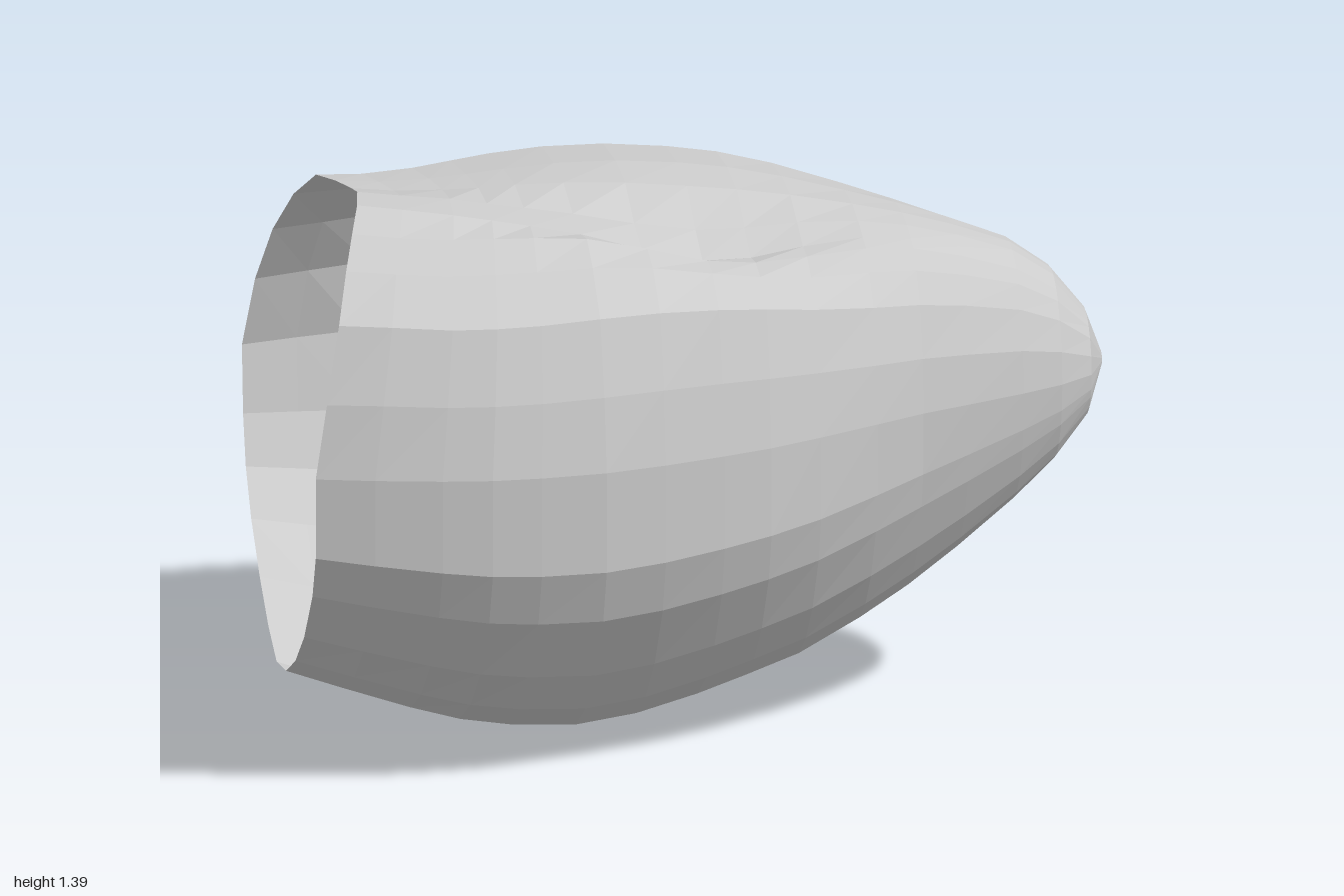
import * as THREE from 'three';

// Stations along the body: x, top y, bottom y, front z, back z
const STATIONS = [
  [-1, 1.39, 0.17, 0.67, -0.54], [-0.86, 1.39, 0.12, 0.70, -0.59],
  [-0.7, 1.37, 0.065, 0.725, -0.64], [-0.58, 1.355, 0.03, 0.735, -0.675],
  [-0.46, 1.34, 0.01, 0.73, -0.71], [-0.3, 1.34, 0, 0.71, -0.735],
  [-0.15, 1.34, 0.02, 0.67, -0.738], [0, 1.33, 0.06, 0.62, -0.715],
  [0.12, 1.315, 0.1, 0.575, -0.685], [0.25, 1.29, 0.145, 0.51, -0.635],
  [0.4, 1.255, 0.225, 0.43, -0.55], [0.52, 1.225, 0.3, 0.365, -0.475],
  [0.64, 1.19, 0.39, 0.315, -0.4], [0.78, 1.14, 0.505, 0.255, -0.305],
  [0.88, 1.07, 0.6, 0.205, -0.225], [0.96, 0.97, 0.705, 0.145, -0.12],
  [1, 0.86, 0.825, 0.045, -0.002],
];

// Widest cross-section as z, y pairs, from the front side down and round
const SECTION = [
  [0.74, 0.82], [0.74, 0.57], [0.68, 0.43], [0.53, 0.25], [0.37, 0.12], [0.2, 0.03],
  [0.03, 0], [-0.15, 0.06], [-0.34, 0.16], [-0.53, 0.29], [-0.65, 0.42], [-0.71, 0.57],
  [-0.735, 0.78], [-0.725, 0.97], [-0.66, 1.12], [-0.53, 1.24], [-0.36, 1.32], [-0.16, 1.34],
  [0, 1.35], [0.16, 1.385], [0.3, 1.39], [0.4, 1.345], [0.5, 1.28], [0.63, 1.18], [0.7, 1.0],
];
const CY = 0.84, CZ = 0.02;
const { smoothstep } = THREE.MathUtils;

function sizeAt(x) {
  let i = 0;
  while (i < STATIONS.length - 2 && STATIONS[i + 1][0] < x) i++;
  const a = STATIONS[i], b = STATIONS[i + 1];
  const t = (x - a[0]) / (b[0] - a[0]);
  return a.map((v, k) => v + (b[k] - v) * t);
}

function shellPoint(x0, [pz, py]) {
  // Section direction scaled to a unit shape
  let u = (pz - CZ) / (pz > CZ ? 0.72 : 0.755);
  let v = (py - CY) / (py > CY ? 0.55 : 0.84);
  let x = x0;
  if (v > 0) {
    // The upper rim of the open end is cut back, most at its middle
    const cut = 0.2 * Math.pow(v, 0.9) * (1 - 0.55 * Math.abs(u));
    x += cut * Math.max(0, (-0.3 - x0) / 0.7);
    // The upper back is drawn in towards the rim
    if (u < 0) u *= 1 - 0.35 * v * smoothstep(-x0, 0.4, 1);
    // The ridge at the rim levels out into a flat top
    v = Math.min(1, v * (1 + 0.085 * smoothstep(x, -0.75, -0.3)));
  }
  // Sections become round towards the tip
  const round = smoothstep(x, 0.1, 0.9);
  const len = Math.hypot(u, v);
  u += (u / len - u) * round;
  v += (v / len - v) * round;
  const [, top, bottom, front, back] = sizeAt(x);
  const z = CZ + u * (u > 0 ? front - CZ : CZ - back);
  let y = CY + v * (v > 0 ? top - CY : CY - bottom);
  // Shallow dent on the upper front
  if (v > 0) y -= 0.13 * v * Math.exp(-(((x - 0.02) / 0.33) ** 2) - ((z - 0.25) / 0.18) ** 2);
  return [x, y, z];
}

export function createModel() {
  const group = new THREE.Group();
  group.name = 'openShell';
  const n = SECTION.length;
  const positions = [], indices = [];
  for (const s of STATIONS) for (const p of SECTION) positions.push(...shellPoint(s[0], p));
  for (let i = 0; i < STATIONS.length - 1; i++) {
    for (let j = 0; j < n; j++) {
      const k = (j + 1) % n;
      const a = i * n + j, c = i * n + k, b = a + n, d = c + n;
      indices.push(a, c, b, b, c, d);
    }
  }
  const geometry = new THREE.BufferGeometry();
  geometry.setAttribute('position', new THREE.Float32BufferAttribute(positions, 3));
  geometry.setIndex(indices);
  geometry.computeVertexNormals();

  // Thin shell, open at the wide end with a pinhole at the tip
  const shell = new THREE.Mesh(geometry, new THREE.MeshStandardMaterial({
    color: 0xcccccc, flatShading: true, side: THREE.DoubleSide,
  }));
  shell.name = 'shell';
  group.add(shell);
  return group;
}
